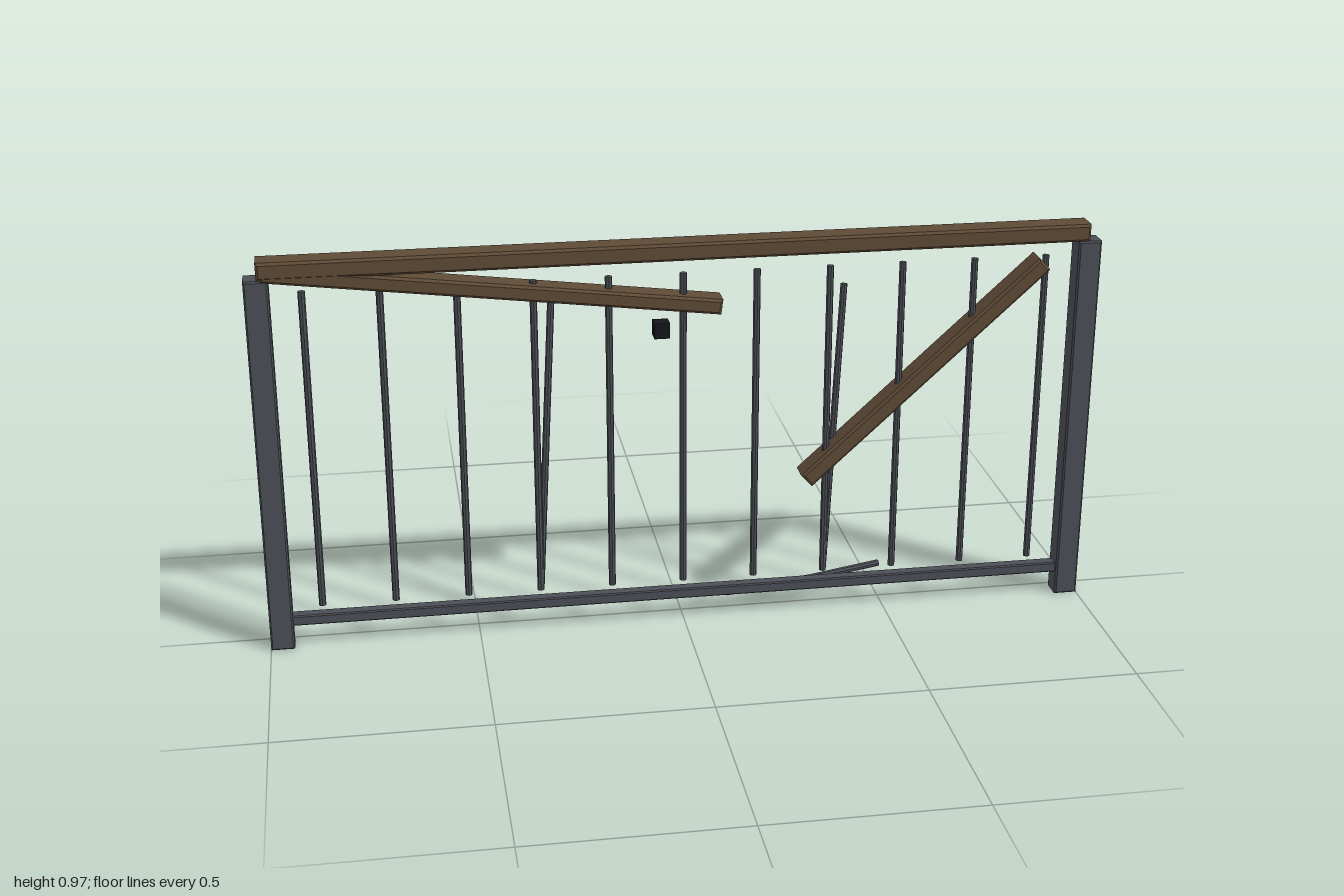
import * as THREE from 'three';

const material = (color) => new THREE.MeshStandardMaterial({ color, flatShading: true });
const Z = 0.037; // plane of the railing

// Box with chamfered edges, centred on the origin
function chamferBox(w, h, d, c) {
  const x = w / 2 - c, y = h / 2 - c;
  const shape = new THREE.Shape([
    [-x, -y], [x, -y], [x, y], [-x, y],
  ].map(([px, py]) => new THREE.Vector2(px, py)));
  const geo = new THREE.ExtrudeGeometry(shape, {
    depth: d - 2 * c, bevelEnabled: true, bevelThickness: c, bevelSize: c, bevelSegments: 1,
  });
  return geo.translate(0, 0, -(d - 2 * c) / 2);
}

export function createModel() {
  const group = new THREE.Group();
  const metal = material(0x4b4e56);
  const wood = material(0x5e4a36);
  const black = material(0x15161a);

  const add = (name, geometry, mat, x, y, z = Z) => {
    const mesh = new THREE.Mesh(geometry, mat);
    mesh.name = name;
    mesh.position.set(x, y, z);
    group.add(mesh);
    return mesh;
  };

  // Thin rod between two points
  const rod = (name, from, to, radius = 0.0085) => {
    const a = new THREE.Vector3(...from), b = new THREE.Vector3(...to);
    const dir = b.clone().sub(a);
    const mid = a.clone().add(b).multiplyScalar(0.5);
    const mesh = add(name, new THREE.CylinderGeometry(radius, radius, dir.length(), 8), metal, mid.x, mid.y, mid.z);
    mesh.quaternion.setFromUnitVectors(new THREE.Vector3(0, 1, 0), dir.normalize());
  };

  // Wooden plank lying in the railing plane between two points
  const plank = (name, x0, y0, x1, y1, h, d) => {
    const length = Math.hypot(x1 - x0, y1 - y0);
    const mesh = add(name, chamferBox(length, h, d, 0.006), wood, (x0 + x1) / 2, (y0 + y1) / 2);
    mesh.rotation.z = Math.atan2(y1 - y0, x1 - x0);
  };

  // End posts
  for (const s of [-1, 1]) {
    add(s > 0 ? 'leftPost' : 'rightPost', chamferBox(0.056, 0.923, 0.056, 0.004), metal, s * 0.972, 0.4615);
  }

  // Rails
  add('bottomRail', chamferBox(1.9, 0.026, 0.03, 0.003), metal, 0, 0.068);
  plank('handrail', -0.97, 0.945, 0.97, 0.945, 0.042, 0.066);
  plank('brokenRailLong', -0.96, 0.937, 0.088, 0.807, 0.037, 0.064);
  plank('brokenRailShort', 0.298, 0.353, 0.863, 0.873, 0.04, 0.064);

  // Upright balusters
  for (let i = -5; i <= 5; i++) {
    rod('baluster', [i * 0.1745, 0.1, Z], [i * 0.1745, 0.887, Z]);
  }

  // Loose balusters leaning back
  for (const x of [-0.349, 0.349]) {
    rod('leaningBaluster', [x, 0.1, Z], [x + 0.045, 0.825, -0.01]);
  }

  // Fallen pieces at the foot
  [[-0.02, 0.048, 0.018], [0.115, 0.044, 0.038], [0.23, 0.052, 0.06]].forEach(([x, y0, y1]) => {
    rod('fallenBaluster', [x, y0, 0.012], [x + 0.285, y1, -0.061]);
  });

  // Small block
  add('block', new THREE.BoxGeometry(0.037, 0.037, 0.037), black, -0.052, 0.752);

  return group;
}
